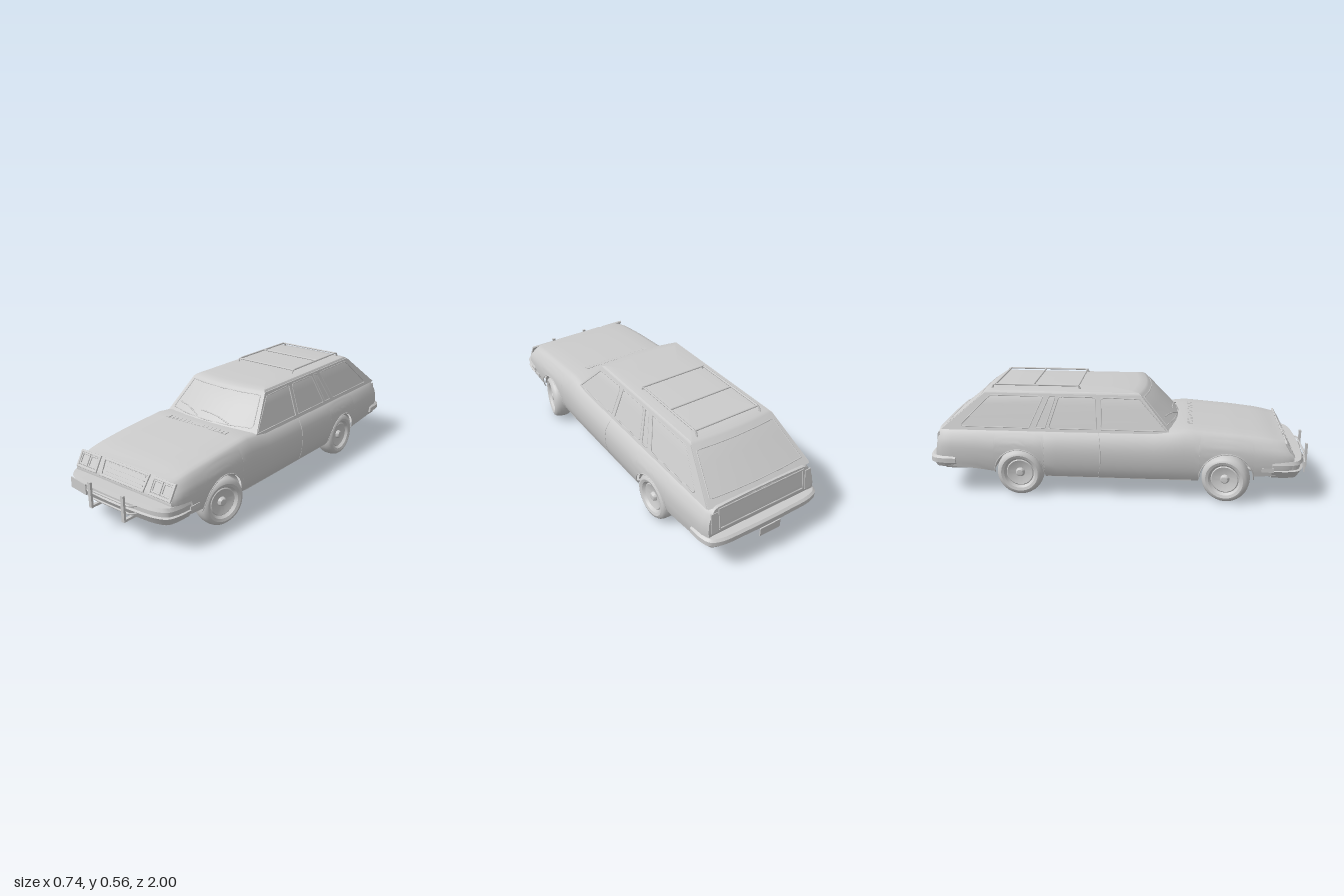
import * as THREE from 'three';
import { toCreasedNormals } from 'three/addons/utils/BufferGeometryUtils.js';

const grey = new THREE.MeshStandardMaterial({ color: 0xcccccc, side: THREE.DoubleSide });
const clamp = THREE.MathUtils.clamp, lerp = THREE.MathUtils.lerp, smooth = THREE.MathUtils.smoothstep;
const V = (p) => new THREE.Vector3(...p);

// Linear interpolation through [key, value] pairs with rising keys
function curve(table, k) {
  for (let i = 1; i < table.length; i++) {
    const [a, va] = table[i - 1], [b, vb] = table[i];
    if (k <= b) return lerp(va, vb, clamp((k - a) / (b - a), 0, 1));
  }
  return table[table.length - 1][1];
}

// Skin over a list of equal-length rings
function loft(rings, closed, caps, crease = 0.55) {
  const n = rings[0].length, idx = [];
  const quad = (a, b, c, d) => idx.push(a, b, c, a, c, d);
  for (let r = 0; r + 1 < rings.length; r++)
    for (let i = 0; i < (closed ? n : n - 1); i++) {
      const j = (i + 1) % n;
      quad(r * n + i, r * n + j, (r + 1) * n + j, (r + 1) * n + i);
    }
  if (caps) for (const r of [0, rings.length - 1])
    for (let i = 0; i + 1 < n / 2; i++)
      quad(r * n + i, r * n + i + 1, r * n + n - 2 - i, r * n + n - 1 - i);
  const g = new THREE.BufferGeometry();
  g.setAttribute('position', new THREE.Float32BufferAttribute(rings.flat(2), 3));
  g.setIndex(idx);
  return toCreasedNormals(g, crease);
}

// Body rules: half width, top height, bottom edge with wheel arches
const WHEELS = [{ z: 0.565, r: 0.138 }, { z: -0.495, r: 0.131 }], AXLE = 0.121;
const halfWidth = (z) => curve([[-0.935, 0.312], [-0.9, 0.326], [-0.75, 0.337], [-0.4, 0.345], [0.2, 0.345], [0.6, 0.342], [0.83, 0.335], [0.875, 0.329], [0.9, 0.318]], z);
const topY = (z) => curve([[-0.935, 0.35], [-0.8, 0.356], [0.2, 0.36], [0.35, 0.378], [0.6, 0.358], [0.83, 0.333], [0.9, 0.322]], z);
const girth = (v) => curve([[0, 0.91], [0.15, 0.965], [0.35, 0.995], [0.55, 1], [0.7, 0.985], [0.82, 0.945], [0.93, 0.89], [1, 0.82]], v);
const sideX = (z, y) => halfWidth(z) * girth((y - 0.1) / (topY(z) - 0.1));
function bottomY(z) {
  const base = curve([[-0.93, 0.15], [-0.64, 0.135], [-0.6, 0.105], [0.6, 0.105], [0.7, 0.14], [0.89, 0.155]], z);
  for (const w of WHEELS) {
    const d = Math.abs(z - w.z);
    if (d < w.r) return Math.max(base, AXLE + Math.sqrt(w.r * w.r - d * d));
  }
  return base;
}
const leanZ = (z, y) => z - 0.05 * clamp((y - 0.24) / 0.085, 0, 1) * smooth(z, 0.72, 0.9)
  + 0.018 * clamp((y - 0.22) / 0.13, 0, 1) * smooth(-z, 0.82, 0.935);

function bodyGeometry() {
  const zs = [-0.935, -0.92, -0.9, -0.85, -0.8, -0.72, -0.3, -0.2, -0.1, 0, 0.1, 0.2, 0.27, 0.35, 0.4, 0.75, 0.8, 0.84, 0.87, 0.885, 0.9];
  for (const w of WHEELS) {
    zs.push(w.z - w.r - 0.001, w.z + w.r + 0.001);
    for (let k = 0; k <= 20; k++) zs.push(w.z + w.r * 0.9999 * Math.cos(k * Math.PI / 20));
  }
  zs.sort((a, b) => a - b);
  return loft(zs.map((z) => {
    const half = [], top = topY(z), b = bottomY(z), s = 0.1 + 0.93 * (top - 0.1);
    for (let j = 0; j <= 9; j++) {
      const y = lerp(b, s, j / 9);
      half.push([sideX(z, y), y]);
    }
    for (const [f, v] of [[0.855, 0.962], [0.8, 0.978], [0.55, 0.992], [0.25, 1]]) half.push([halfWidth(z) * f, 0.1 + v * (top - 0.1)]);
    const all = [...half, ...half.slice().reverse().map(([x, y]) => [-x, y])];
    return all.map(([x, y]) => [x, y, leanZ(z, y)]);
  }), false, true, 0.6);
}

// Greenhouse rules: t runs from belt (0) to roof edge (1), u across the car
const cabX = (t) => lerp(0.3, 0.235, t), cabY = (t) => lerp(0.34, 0.527, t);
const screen = (u, t, out = 0) => [cabX(t) * u, cabY(t) + out, lerp(lerp(0.355, 0.285, u * u), lerp(0.155, 0.125, u * u), t) + out];
const rear = (u, t, out = 0) => [cabX(t) * u, cabY(t) + out, lerp(lerp(-0.92, -0.905, u * u), lerp(-0.695, -0.68, u * u), t) - out];
function cabinGeometry() {
  const us = [-1, -0.96, -0.8, -0.5, -0.2, 0.2, 0.5, 0.8, 0.96, 1];
  const ring = (t) => [...us.map((u) => screen(u, t)), ...us.map((u) => rear(-u, t))];
  const rings = [0, 0.33, 0.66, 1].map(ring);
  for (const [y, s] of [[0.535, 0.97], [0.54, 0.87], [0.544, 0.5], [0.545, 0]])
    rings.push(ring(1).map(([x, , z]) => [x * s, y, -0.27 + (z + 0.27) * s]));
  return loft(rings, true, false, 0.5);
}

// Bumper: a section [outward, y] carried along a mirrored plan curve [x, z]
function bumperGeometry(plan, section) {
  const pts = [...plan.map(([x, z]) => [-x, z]), ...plan.slice(0, -1).reverse()];
  const path = new THREE.CatmullRomCurve3(pts.map(([x, z]) => V([x, 0, z])), false, 'centripetal');
  const sign = Math.sign(plan[0][1]);
  return loft(Array.from({ length: 61 }, (_, i) => {
    const p = path.getPoint(i / 60), t = path.getTangent(i / 60);
    return section.map(([d, y]) => [p.x - t.z * d * sign, y, p.z + t.x * d * sign]);
  }), true, true, 0.5);
}

function tubeGeometry(points, r, closed = false) {
  const path = new THREE.CurvePath(), pts = points.map(V);
  if (closed) pts.push(pts[0].clone());
  for (let i = 1; i < pts.length; i++) path.add(new THREE.LineCurve3(pts[i - 1], pts[i]));
  return new THREE.TubeGeometry(path, pts.length * 6, r, 8, false);
}

function polygon(points, Type = THREE.Shape) {
  return new Type(points.map(([x, y]) => new THREE.Vector2(x, y)));
}
// Rectangular or tapered surround with an opening
function frameGeometry(w, h, border, depth, taper = 0) {
  const outline = (x, y) => [[-x + taper, -y], [x - taper, -y], [x, y], [-x, y]];
  const s = polygon(outline(w / 2, h / 2));
  s.holes.push(polygon(outline(w / 2 - border, h / 2 - border), THREE.Path));
  return new THREE.ExtrudeGeometry(s, { depth, bevelEnabled: true, bevelSize: 0.003, bevelThickness: 0.003, bevelSegments: 2 });
}

// Side window openings as [z, y]
const WINDOWS = [
  [[0.262, 0.358], [0.12, 0.508], [-0.08, 0.513], [-0.072, 0.358]],
  [[-0.098, 0.358], [-0.106, 0.513], [-0.295, 0.513], [-0.345, 0.358]],
  [[-0.362, 0.358], [-0.312, 0.513], [-0.345, 0.513], [-0.412, 0.358]],
  [[-0.445, 0.358], [-0.375, 0.513], [-0.655, 0.513], [-0.81, 0.358]]];
const wallX = (y) => cabX((y - 0.34) / 0.187);

// Window surround of one side, bent onto the sloping cabin wall
function sideFrameGeometry(side) {
  const s = polygon([[0.284, 0.342], [0.126, 0.526], [-0.68, 0.526], [-0.9, 0.342]]);
  for (const w of WINDOWS) s.holes.push(polygon(w, THREE.Path));
  const g = new THREE.ExtrudeGeometry(s, { depth: 0.009, bevelEnabled: false }), p = g.attributes.position;
  for (let i = 0; i < p.count; i++) {
    const z = p.getX(i), y = p.getY(i), d = p.getZ(i);
    p.setXYZ(i, side * (wallX(y) - 0.004 + d), y, z);
  }
  if (side > 0) { // keep faces pointing outward
    for (let i = 0; i < p.count; i += 3) {
      const a = [p.getX(i), p.getY(i), p.getZ(i)];
      p.setXYZ(i, p.getX(i + 1), p.getY(i + 1), p.getZ(i + 1));
      p.setXYZ(i + 1, ...a);
    }
  }
  g.computeVertexNormals();
  return g;
}

const WHEEL_PROFILE = [[0, 0.042], [0.016, 0.04], [0.022, 0.032], [0.024, 0.024], [0.045, 0.027], [0.066, 0.034], [0.071, 0.03], [0.077, 0.037], [0.082, 0.044],
  [0.096, 0.049], [0.108, 0.045], [0.117, 0.034], [0.1215, 0.016], [0.1215, -0.016], [0.117, -0.034], [0.108, -0.045], [0.096, -0.049], [0.08, -0.044], [0.076, -0.03], [0.068, -0.005], [0.03, 0], [0, 0]];

export function createModel() {
  const car = new THREE.Group();
  car.name = 'stationWagon';
  const add = (name, geo, pos = [0, 0, 0], rot = [0, 0, 0], parent = car) => {
    const m = new THREE.Mesh(geo, grey);
    m.name = name;
    m.position.set(...pos);
    m.rotation.set(...rot);
    parent.add(m);
  };
  const box = (name, size, pos, rot, parent) => add(name, new THREE.BoxGeometry(...size), pos, rot, parent);

  add('body', bodyGeometry());
  add('cabin', cabinGeometry());
  const us = [-0.93, -0.5, 0, 0.5, 0.93];
  const loop = (f, a, b) => [...us.map((u) => f(u, a)), ...us.slice().reverse().map((u) => f(u, b))];
  add('windscreenTrim', tubeGeometry(loop(screen, 0.21, 0.93), 0.003, true));
  add('rearWindowTrim', tubeGeometry(loop(rear, 0.14, 0.9), 0.003, true));
  for (const [a, b] of [[-0.83, -0.18], [-0.18, 0.5]])
    add('wiper', tubeGeometry([[a, 0.37], [lerp(a, b, 0.35), 0.36], [lerp(a, b, 0.7), 0.31], [b, 0.22]].map(([u, t]) => screen(u, t, 0.004)), 0.003));
  for (let k = 0; k < 16; k++) box('cowlVentSlat', [0.02, 0.006, 0.028], [-0.19 + k * 0.0253, 0.3735, 0.38], [0.07, 0, 0]);

  // Sides
  for (const s of [1, -1]) {
    add('windowFrame', sideFrameGeometry(s));
    for (const w of WINDOWS) add('windowTrim', tubeGeometry(w.map(([z, y]) => [s * (wallX(y) + 0.004), y, z]), 0.003, true));
    const seam = [];
    for (let k = 0; k <= 8; k++) {
      const y = lerp(0.11, 0.345, k / 8), z = -0.085 + 0.012 * Math.sin(k / 8 * Math.PI);
      seam.push([s * sideX(z, y), y, z]);
    }
    add('doorSeam', tubeGeometry(seam, 0.002));
    box('frontSideMarker', [0.01, 0.022, 0.06], [s * sideX(0.77, 0.18), 0.18, 0.77]);
    for (const w of WHEELS) {
      const lip = [];
      for (let k = 0; k <= 20; k++) {
        const a = k * Math.PI / 20, y = AXLE + w.r * Math.sin(a), z = w.z + w.r * Math.cos(a);
        lip.push([s * sideX(z, y), y, z]);
      }
      add('archLip', tubeGeometry(lip, 0.003));
      add('wheelHousing', new THREE.CylinderGeometry(w.r, w.r, 0.13, 24, 1, true, 0.15, Math.PI - 0.3), [s * 0.255, AXLE, w.z], [0, 0, Math.PI / 2]);
      add('housingWall', new THREE.CircleGeometry(w.r, 24, 0.15, Math.PI - 0.3), [s * 0.192, AXLE, w.z], [0, Math.PI / 2, 0]);
    }
  }

  // Wheels, the front pair steered
  WHEELS.forEach((w, i) => {
    for (const s of [1, -1]) {
      const wheel = new THREE.Group();
      wheel.name = i ? 'rearWheel' : 'frontWheel';
      wheel.position.set(s * (i ? 0.287 : 0.3), AXLE, w.z);
      wheel.rotation.y = i ? 0 : -0.23;
      const g = new THREE.LatheGeometry(WHEEL_PROFILE.map((p) => new THREE.Vector2(...p)), 40);
      add('tyreAndRim', toCreasedNormals(g, 0.6), [0, 0, 0], [0, 0, -s * Math.PI / 2], wheel);
      car.add(wheel);
    }
  });

  // Sloping front face
  const face = new THREE.Group();
  face.name = 'frontFace';
  face.position.set(0, 0.28, 0.8765);
  face.rotation.x = -0.53;
  car.add(face);
  add('grilleSurround', frameGeometry(0.3, 0.083, 0.006, 0.006, 0.008), [0, -0.002, -0.002], [0, 0, 0], face);
  for (const y of [-0.02, 0.002, 0.024]) box('grilleSlat', [0.262, 0.005, 0.008], [0, y, 0.002], [0, 0, 0], face);
  for (const s of [1, -1]) {
    add('headlightBezel', frameGeometry(0.134, 0.08, 0.006, 0.006), [s * 0.243, -0.002, -0.002], [0, 0, 0], face);
    for (const x of [0.213, 0.273]) add('headlight', frameGeometry(0.05, 0.054, 0.003, 0.003), [s * x, 0, -0.001], [0, 0, 0], face);
  }

  // Front bumper, plate and guard
  add('frontBumper', bumperGeometry([[0.332, 0.79], [0.329, 0.87], [0.312, 0.918], [0.26, 0.944], [0.14, 0.957], [0, 0.962]],
    [[-0.06, 0.226], [0, 0.224], [0.008, 0.207], [-0.004, 0.203], [-0.004, 0.178], [0.008, 0.174], [-0.014, 0.135], [-0.06, 0.13]]));
  box('frontValance', [0.54, 0.03, 0.05], [0, 0.13, 0.87]);
  box('frontPlate', [0.124, 0.054, 0.006], [-0.228, 0.186, 0.964], [0, -0.12, 0]);
  for (const s of [1, -1]) {
    box('guardUpright', [0.018, 0.13, 0.012], [s * 0.11, 0.186, 0.993]);
    box('guardFoot', [0.016, 0.012, 0.1], [s * 0.11, 0.127, 0.945]);
  }
  for (const y of [0.203, 0.165]) add('guardBar', tubeGeometry([[-0.16, y, 0.955], [-0.14, y, 0.982], [0.14, y, 0.982], [0.16, y, 0.955]], 0.005));

  // Tail
  add('tailgateTrim', frameGeometry(0.5, 0.11, 0.004, 0.001), [0, 0.278, -0.926], [0.138, Math.PI, 0]);
  for (const s of [1, -1]) box('tailLight', [0.036, 0.105, 0.008], [s * 0.278, 0.27, -0.928], [0.138, 0, 0]);
  add('rearBumper', bumperGeometry([[0.326, -0.83], [0.324, -0.9], [0.308, -0.945], [0.26, -0.966], [0.13, -0.973], [0, -0.975]],
    [[-0.05, 0.205], [0, 0.202], [0.012, 0.192], [0.012, 0.168], [0, 0.163], [-0.012, 0.14], [-0.05, 0.135]]));
  box('rearPlate', [0.12, 0.045, 0.006], [0, 0.152, -0.995]);

  // Roof rack
  for (const s of [1, -1])
    add('rackRail', tubeGeometry([[0.535, -0.19], [0.557, -0.2], [0.557, -0.645], [0.535, -0.655]].map(([y, z]) => [s * 0.185, y, z]), 0.005));
  for (const z of [-0.2, -0.435, -0.635]) add('rackBar', tubeGeometry([[-0.185, 0.557, z], [0.185, 0.557, z]], 0.0045));

  // Underside: floor between the wheel housings, frame rails, centre rail and sills
  const mirrored = (half) => [...half, ...half.slice().reverse().map(([x, z]) => [-x, z])];
  const floor = mirrored([[0.29, 0.88], [0.305, 0.7], [0.19, 0.7], [0.19, 0.43], [0.315, 0.43], [0.315, -0.367], [0.19, -0.367], [0.19, -0.623], [0.305, -0.623], [0.29, -0.92]]);
  const rails = mirrored([[0.27, 0.86], [0.26, 0.74], [0.18, 0.7], [0.18, 0.43], [0.29, 0.37], [0.29, -0.32], [0.18, -0.37], [0.18, -0.62], [0.27, -0.68], [0.28, -0.9]]);
  add('floor', new THREE.ShapeGeometry(polygon(floor)), [0, 0.142, 0], [Math.PI / 2, 0, 0]);
  add('frameRails', tubeGeometry(rails.map(([x, z]) => [x, 0.132, z]), 0.012, true));
  add('centreRail', tubeGeometry([[0, 0.13, 0.42], [0, 0.13, -0.48]], 0.008));
  for (const s of [1, -1]) box('sill', [0.03, 0.012, 0.74], [s * 0.302, 0.11, 0.02]);
  return car;
}
